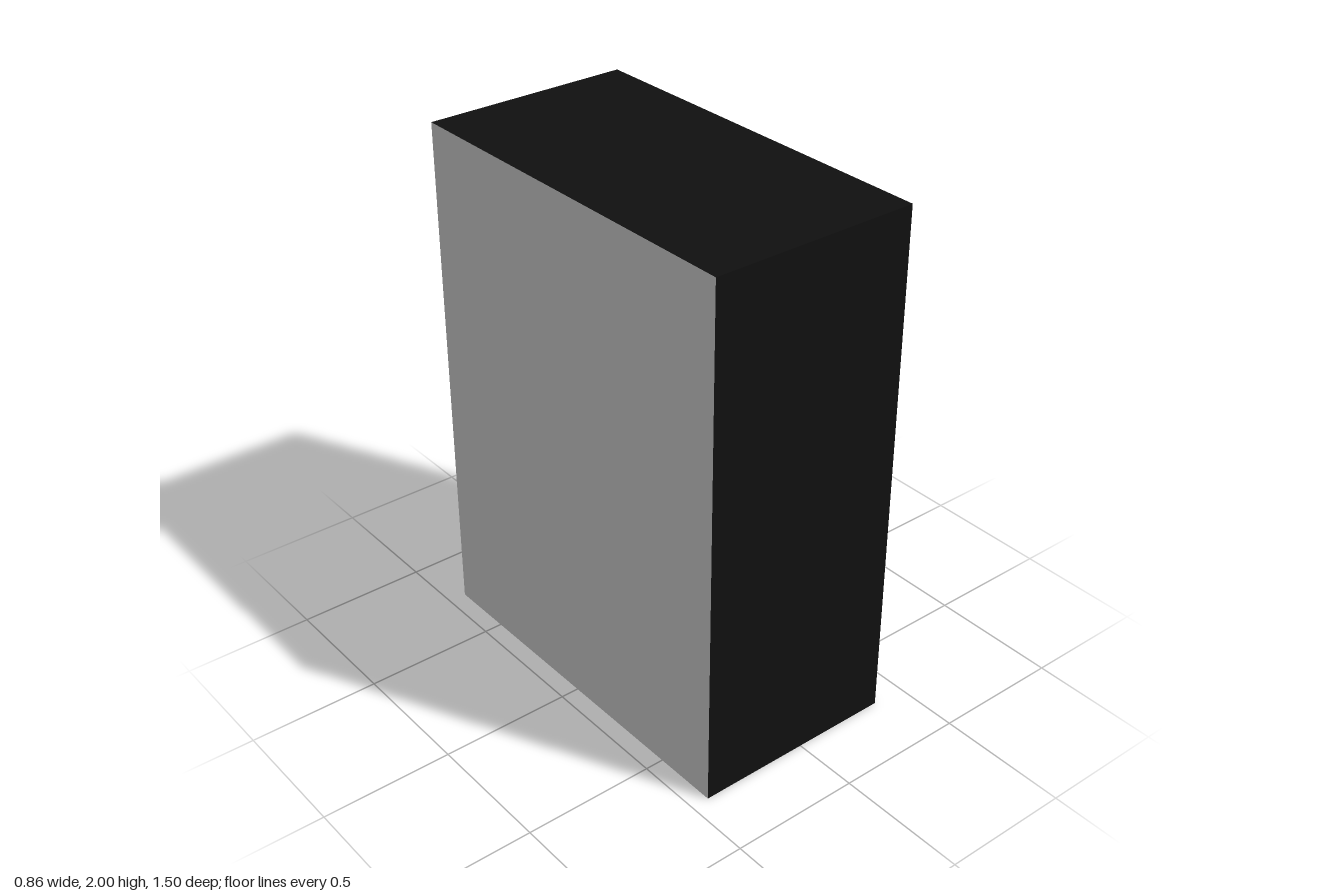
import * as THREE from 'three';

const grey = new THREE.MeshStandardMaterial({ color: 0xcccccc });
const black = new THREE.MeshStandardMaterial({ color: 0x101010 });
const metal = new THREE.MeshStandardMaterial({ color: 0x827a80 });

const FRONT = 0.37, FACE = 0.39;

// Door or drawer front spanning z0..z1 and y0..y1
function panel(name, z0, z1, y0, y1) {
  const mesh = new THREE.Mesh(new THREE.BoxGeometry(FACE - FRONT, y1 - y0, z1 - z0), black);
  mesh.position.set((FRONT + FACE) / 2, (y0 + y1) / 2, (z0 + z1) / 2);
  mesh.name = name;
  return mesh;
}

// Bracket handle: U profile with chamfered corners, length along y
function handle(name, y, z, length, reach, horizontal = false) {
  const h = length / 2, bar = 0.009, post = 0.017, c = 0.005;
  const profile = new THREE.Shape([
    [0, -h], [reach - c, -h], [reach, -h + c], [reach, h - c], [reach - c, h], [0, h],
    [0, h - post], [reach - bar, h - post], [reach - bar, -h + post], [0, -h + post],
  ].map(([px, py]) => new THREE.Vector2(px, py)));
  const width = 0.035;
  const geometry = new THREE.ExtrudeGeometry(profile, { depth: width, bevelEnabled: false });
  geometry.translate(0, 0, -width / 2);
  if (horizontal) geometry.rotateX(Math.PI / 2);
  const mesh = new THREE.Mesh(geometry, metal);
  mesh.position.set(FACE, y, z);
  mesh.name = name;
  return mesh;
}

export function createModel() {
  const wardrobe = new THREE.Group();
  wardrobe.name = 'wardrobe';

  // Carcass: dark sides and top, grey front frame, back and underside
  const carcass = new THREE.Mesh(
    new THREE.BoxGeometry(0.8, 2, 1.5),
    [grey, grey, black, grey, black, black],
  );
  carcass.position.set(-0.03, 1, 0);
  carcass.name = 'carcass';
  wardrobe.add(carcass);

  // Doors and drawer fronts
  wardrobe.add(
    panel('outerDoor', 0.276, 0.727, 0.483, 1.983),
    panel('middleDoor', -0.196, 0.255, 0.483, 1.983),
    panel('tallDoor', -0.731, -0.23, 0.08, 1.983),
    panel('upperDrawer', -0.196, 0.727, 0.261, 0.462),
    panel('lowerDrawer', -0.196, 0.727, 0.041, 0.242),
  );

  // Handles
  wardrobe.add(
    handle('outerDoorHandle', 1.233, 0.332, 0.144, 0.019),
    handle('middleDoorHandle', 1.233, 0.201, 0.144, 0.019),
    handle('tallDoorHandle', 1.233, -0.296, 0.271, 0.019),
    handle('upperDrawerHandle', 0.362, 0.267, 0.146, 0.036, true),
    handle('lowerDrawerHandle', 0.142, 0.267, 0.146, 0.036, true),
  );
  return wardrobe;
}
